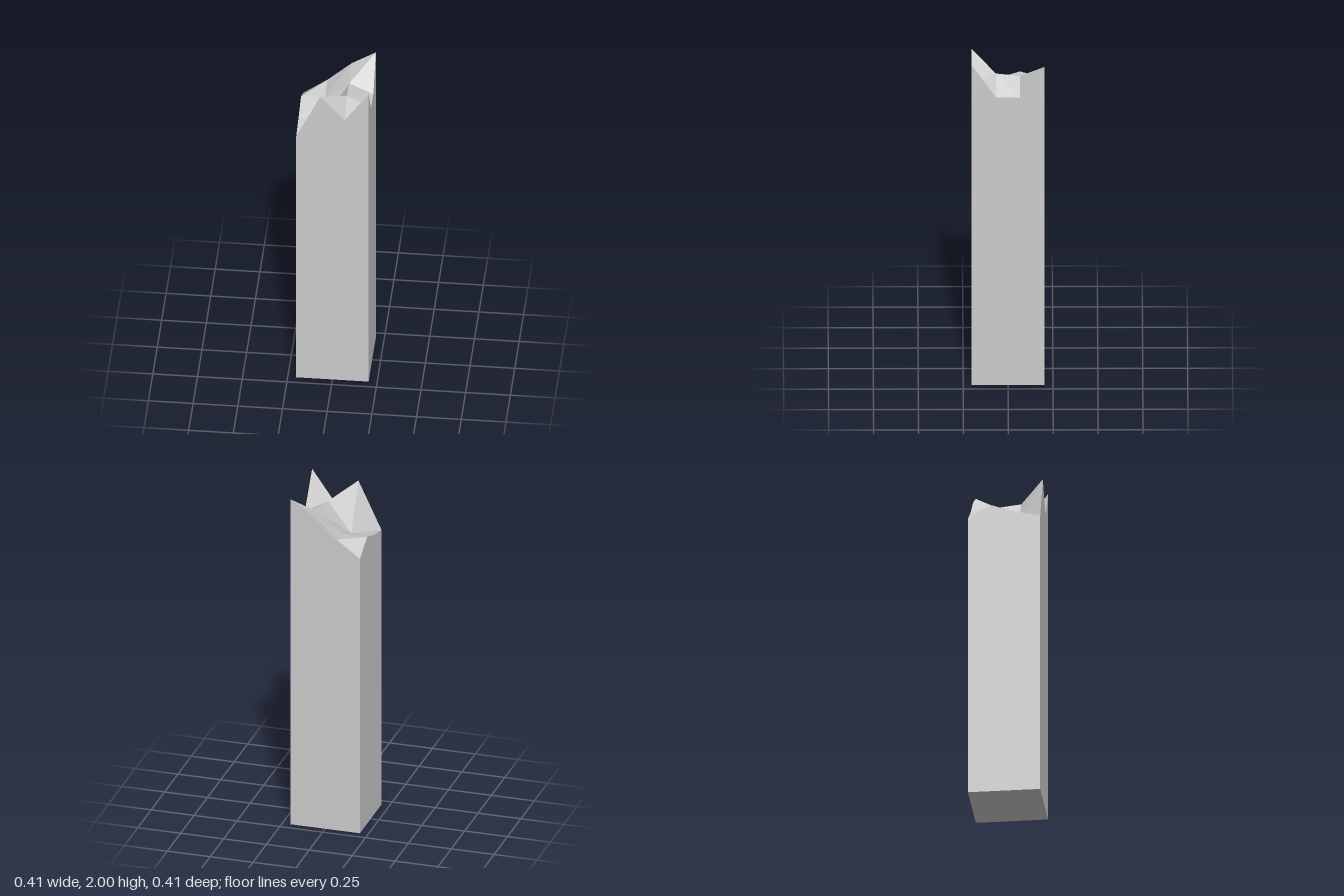
import * as THREE from 'three';

const WIDTH = 0.405;

// Heights of the jagged top: rows run from back to front, columns from -x to +x
const TOP = [
  [1.68, 1.78, 1.905, 1.99],
  [1.755, 1.755, 1.865, 1.80],
  [1.71, 1.70, 1.88, 1.80],
  [1.68, 1.965, 1.81, 2.0],
];

export function createModel() {
  const group = new THREE.Group();
  group.name = 'brokenPillar';

  // Square shaft whose upper vertices are moved to the broken heights
  const box = new THREE.BoxGeometry(WIDTH, 2, WIDTH, 3, 1, 3);
  box.translate(0, 1, 0);
  const pos = box.attributes.position;
  const cell = (v) => Math.round((v / WIDTH + 0.5) * 3);
  for (let i = 0; i < pos.count; i++) {
    if (pos.getY(i) > 1) pos.setY(i, TOP[cell(pos.getZ(i))][cell(pos.getX(i))]);
  }

  // Separate the faces so every facet is flat
  const geometry = box.toNonIndexed();
  geometry.computeVertexNormals();

  const shaft = new THREE.Mesh(
    geometry,
    new THREE.MeshStandardMaterial({ color: 0xcccccc, flatShading: true })
  );
  shaft.name = 'pillarShaft';
  group.add(shaft);
  return group;
}
